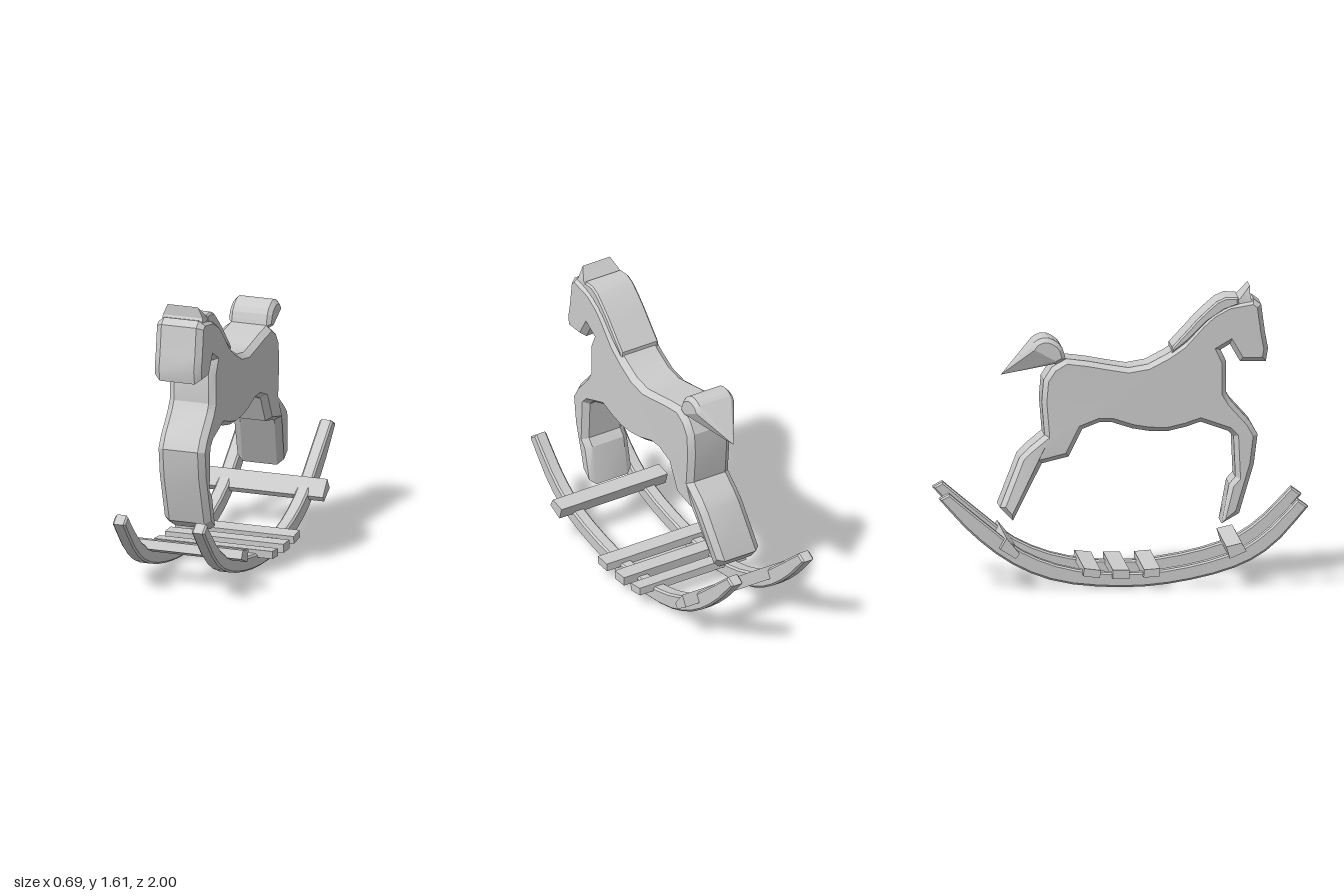
import * as THREE from 'three';
import { toCreasedNormals } from 'three/addons/utils/BufferGeometryUtils.js';
import { ConvexGeometry } from 'three/addons/geometries/ConvexGeometry.js';

const paintedWood = new THREE.MeshStandardMaterial({ color: 0xcccccc });
paintedWood.name = 'light grey wood';

// Extrudes a side profile of [z, y] points across x0..x1, chamfered inside its outline
function slab(name, points, x0, x1, inset = 0, depth = inset, adjust) {
  const shape = new THREE.Shape(points.map(([z, y]) => new THREE.Vector2(z, y)));
  const geometry = new THREE.ExtrudeGeometry(shape, {
    depth: x1 - x0 - 2 * depth,
    bevelEnabled: inset > 0,
    bevelSize: inset,
    bevelOffset: -inset,
    bevelThickness: depth,
    bevelSegments: 1,
  });
  geometry.rotateY(-Math.PI / 2).translate(x1 - depth, 0, 0);
  if (adjust) {
    const p = geometry.attributes.position;
    const v = new THREE.Vector3();
    for (let i = 0; i < p.count; i++) {
      adjust(v.fromBufferAttribute(p, i));
      p.setXYZ(i, v.x, v.y, v.z);
    }
  }
  return part(name, toCreasedNormals(geometry, 0.45));
}

function part(name, geometry) {
  const mesh = new THREE.Mesh(geometry, paintedWood);
  mesh.name = name;
  return mesh;
}

// Smooth run of points through a few [z, y] stations
function smooth(points, count) {
  const curve = new THREE.SplineCurve(points.map(([z, y]) => new THREE.Vector2(z, y)));
  return curve.getPoints(count).map((p) => [p.x, p.y]);
}

export function createModel() {
  const horse = new THREE.Group();
  horse.name = 'rockingHorse';

  // Head, neck, trunk and legs in one thick board
  const bodyProfile = [
    [0.72, 1.54], [0.76, 1.51], [0.78, 1.36], [0.797, 1.27], [0.785, 1.2], [0.645, 1.2],
    [0.59, 1.295], [0.54, 1.265], [0.57, 1.2], [0.57, 1.03], [0.6, 0.98], [0.7, 0.87],
    [0.74, 0.8], [0.72, 0.64], [0.64, 0.37], [0.545, 0.315], [0.585, 0.53], [0.62, 0.57],
    [0.61, 0.79], [0.58, 0.82], [0.43, 0.872], [0.35, 0.845], [0.25, 0.822], [0.15, 0.825],
    [0.06, 0.84], [-0.05, 0.875], [-0.12, 0.875], [-0.21, 0.84], [-0.285, 0.69], [-0.43, 0.655],
    [-0.59, 0.35], [-0.66, 0.42], [-0.55, 0.69], [-0.5, 0.74], [-0.415, 0.81], [-0.43, 0.99],
    [-0.42, 1.11], [-0.375, 1.18], [-0.3, 1.225], [-0.18, 1.21], [-0.07, 1.19], [0.04, 1.172],
    [0.145, 1.19], [0.25, 1.245], [0.33, 1.3], [0.43, 1.41], [0.49, 1.465], [0.58, 1.515],
  ];
  horse.add(slab('body', bodyProfile, -0.116, 0.153, 0.025, 0.034, (v) => {
    // hind hooves lean to one side
    if (v.z < -0.2 && v.y < 0.68) v.x -= (0.68 - v.y) * 0.15;
  }));

  // Mane strip along the neck
  horse.add(slab('mane', [
    [0.64, 1.51], [0.635, 1.55], [0.57, 1.552], [0.52, 1.53], [0.465, 1.482], [0.41, 1.43],
    [0.37, 1.385], [0.275, 1.283], [0.275, 1.25], [0.37, 1.32], [0.47, 1.42], [0.56, 1.48],
  ], -0.105, 0.137, 0.01));

  // Ear ridge, narrowing to its top
  horse.add(slab('ears', [
    [0.7, 1.61], [0.65, 1.55], [0.6, 1.5], [0.735, 1.49], [0.7, 1.55],
  ], -0.096, 0.134, 0, 0, (v) => {
    if (v.y > 1.6) v.x = 0.019 + (v.x - 0.019) * 0.76;
  }));

  // Tail: rounded root drawn out to a point
  const tailPoints = [new THREE.Vector3(0.015, 1.127, -0.645)];
  const arch = smooth([
    [-0.3, 1.22], [-0.325, 1.295], [-0.395, 1.34], [-0.46, 1.325], [-0.49, 1.285],
  ], 10);
  arch.push([-0.34, 1.2]);
  for (const [z, y] of arch) {
    for (const side of [-1, 1]) {
      tailPoints.push(new THREE.Vector3(0.018 + side * 0.1, y, z));
      tailPoints.push(new THREE.Vector3(0.018 + side * 0.122, 1.25 + (y - 1.25) * 0.72, -0.4 + (z + 0.4) * 0.78));
    }
  }
  horse.add(part('tail', new ConvexGeometry(tailPoints)));

  // Curved rockers
  const outer = smooth([
    [1, 0.43], [0.81, 0.22], [0.6, 0.1], [0.3, 0.025], [0, 0],
    [-0.34, 0.03], [-0.6, 0.13], [-0.82, 0.295], [-1, 0.49],
  ], 20);
  const inner = smooth([
    [-0.945, 0.52], [-0.74, 0.35], [-0.55, 0.205], [-0.31, 0.112], [-0.015, 0.078],
    [0.28, 0.102], [0.57, 0.175], [0.76, 0.285], [0.945, 0.47],
  ], 20);
  for (const [name, x] of [['rightRocker', -0.24], ['leftRocker', 0.218]]) {
    horse.add(slab(name, [...outer, ...inner], x - 0.037, x + 0.037, 0.01));
  }

  // Cross slats, the end ones tilted with the curve
  const slats = [
    [[0.635, 0.245], [0.55, 0.225], [0.57, 0.16], [0.66, 0.2]],
    [[0.192, 0.112], [0.105, 0.105], [0.102, 0.062], [0.188, 0.068]],
    [[0.025, 0.105], [-0.065, 0.105], [-0.065, 0.056], [0.025, 0.056]],
    [[-0.13, 0.105], [-0.22, 0.116], [-0.225, 0.074], [-0.135, 0.062]],
    [[-0.57, 0.2], [-0.64, 0.285], [-0.675, 0.225], [-0.59, 0.172]],
  ];
  slats.forEach((profile, i) => horse.add(slab(`slat${i + 1}`, profile, -0.344, 0.342)));

  return horse;
}
